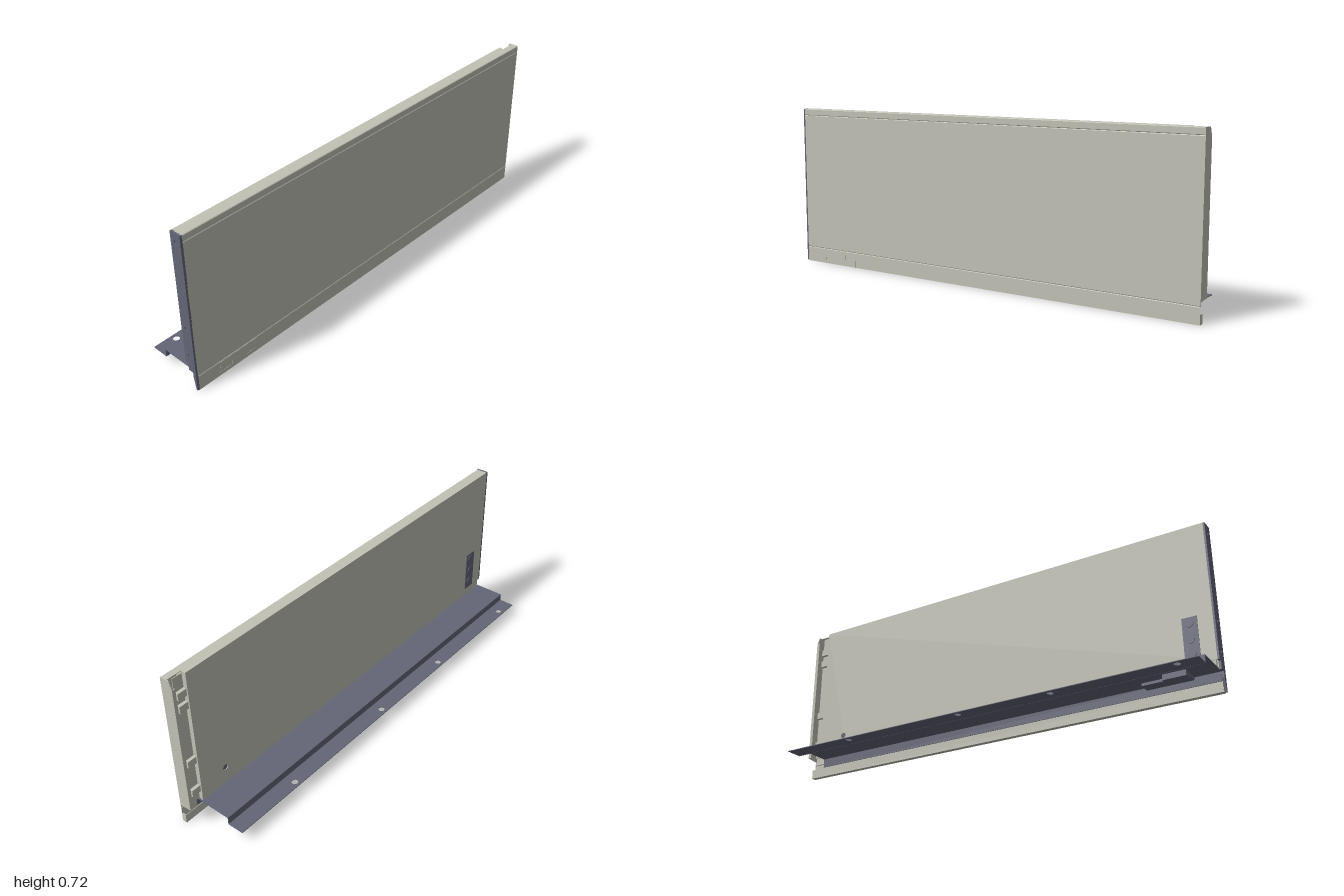
import * as THREE from 'three';

const light = new THREE.MeshStandardMaterial({ color: 0xc2c2b6, side: THREE.DoubleSide });
const dark = new THREE.MeshStandardMaterial({ color: 0x636576, side: THREE.DoubleSide });

export function createModel() {
  const model = new THREE.Group();

  const add = (name, geometry, material) => {
    const mesh = new THREE.Mesh(geometry, material);
    mesh.name = name;
    model.add(mesh);
    return mesh;
  };

  // Box given by its limits on each axis
  const box = (name, material, [x0, x1], [y0, y1], [z0, z1]) =>
    add(name, new THREE.BoxGeometry(x1 - x0, y1 - y0, z1 - z0)
      .translate((x0 + x1) / 2, (y0 + y1) / 2, (z0 + z1) / 2), material);

  const outline = (points) => new THREE.Shape(points.map(([x, y]) => new THREE.Vector2(x, y)));
  const rect = (x0, x1, y0, y1) => outline([[x0, y0], [x1, y0], [x1, y1], [x0, y1]]);
  const punch = (shape, x, y, r) =>
    shape.holes.push(new THREE.Path().absarc(x, y, r, 0, Math.PI * 2, true));
  const extrude = (shape, depth) =>
    new THREE.ExtrudeGeometry(shape, { depth, bevelEnabled: false, curveSegments: 10 });

  // Folded sheet: a centre line thickened with mitred corners, extruded along z
  const sheet = (name, material, line, t, z0, z1) => {
    const p = line.map(([x, y]) => new THREE.Vector2(x, y));
    const sides = [[], []];
    p.forEach((c, i) => {
      const a = c.clone().sub(p[Math.max(i - 1, 0)]).normalize();
      const b = p[Math.min(i + 1, p.length - 1)].clone().sub(c).normalize();
      if (i === 0) a.copy(b);
      if (i === p.length - 1) b.copy(a);
      const n = new THREE.Vector2(-a.y - b.y, a.x + b.x).normalize();
      const d = t / 2 / (n.x * -a.y + n.y * a.x);
      sides[0].push([c.x + n.x * d, c.y + n.y * d]);
      sides[1].unshift([c.x - n.x * d, c.y - n.y * d]);
    });
    return add(name, extrude(outline([...sides[0], ...sides[1]]), z1 - z0).translate(0, 0, z0), material);
  };

  // Outer skin with hemmed skirt and two shallow grooves
  sheet('outerSkin', light, [
    [0.111, 0.04], [0.111, 0.001], [0.13, 0.001], [0.13, 0.066], [0.128, 0.069], [0.13, 0.072],
    [0.13, 0.688], [0.128, 0.691], [0.13, 0.694], [0.13, 0.717], [0.128, 0.719], [0.1, 0.719],
  ], 0.002, -1, 0.992);
  box('topFold', light, [0.08, 0.101], [0.718, 0.72], [-0.93, 0.992]);

  // Inner wall with an adjusting hole near the back
  const wall = rect(-0.93, 0.992, 0.12, 0.72);
  punch(wall, -0.8, 0.166, 0.013);
  add('innerWall', extrude(wall, 0.003).rotateY(-Math.PI / 2).translate(0.081, 0, 0), light);
  box('innerFootStrip', light, [0.08, 0.092], [0.086, 0.12], [-0.93, 0.985]);
  box('holeBacking', dark, [0.083, 0.086], [0.145, 0.187], [-0.825, -0.775]);

  // Front end cap with screw holes
  const cap = outline([
    [0.078, 0.12], [0.092, 0.12], [0.092, 0.085], [0.115, 0.085], [0.115, 0.06],
    [0.125, 0.003], [0.131, 0.003], [0.131, 0.72], [0.078, 0.72],
  ]);
  for (const y of [0.163, 0.293, 0.682]) {
    punch(cap, 0.104, y, 0.0085);
    add('capScrew', new THREE.CylinderGeometry(0.0085, 0.0085, 0.006, 16)
      .rotateX(Math.PI / 2).translate(0.104, y, 0.992), dark);
  }
  add('frontCap', extrude(cap, 0.01).translate(0, 0, 0.99), dark);

  // Back return flange with a hooked edge and chamfered top
  add('backFlange', extrude(outline([
    [0.075, 0.09], [0.131, 0.085], [0.131, 0.72], [0.088, 0.72], [0.075, 0.685],
  ]), 0.004).translate(0, 0, -1), light);
  box('backFlangeHook', light, [0.075, 0.078], [0.09, 0.685], [-1, -0.985]);
  box('skirtBackReturn', light, [0.11, 0.131], [0, 0.04], [-1, -0.996]);

  // Recessed channel and catches in the open back end
  box('backChannelWall', light, [0.098, 0.101], [0.09, 0.71], [-0.975, -0.925]);
  box('backChannelEnd', light, [0.08, 0.13], [0.09, 0.718], [-0.93, -0.927]);
  for (const y of [0.15, 0.3, 0.57, 0.63]) {
    box('backCatch', light, [0.084, 0.1], [y - 0.016, y + 0.016], [-0.972, -0.93]);
  }

  // Bottom rail: stepped sheet, with a punched mounting flange
  sheet('bottomRail', dark, [
    [-0.06, 0.05], [-0.06, 0.085], [0.113, 0.085], [0.113, 0.045],
  ], 0.003, -0.935, 0.99);
  const flange = rect(-0.133, -0.0585, -0.935, 0.99);
  for (const z of [-0.61, -0.045, 0.38, 0.9]) punch(flange, -0.108, z, 0.014);
  add('mountingFlange', extrude(flange, 0.003).rotateX(Math.PI / 2).translate(0, 0.0535, 0), dark);

  // Catch block under the rail
  box('railCatch', dark, [0.022, 0.06], [0.06, 0.085], [0.79, 0.885]);
  box('railCatchArm', dark, [0.06, 0.115], [0.072, 0.085], [0.69, 0.885]);

  // Latch bracket on the inner wall
  box('latchPlate', dark, [0.076, 0.079], [0.125, 0.32], [0.867, 0.93]);
  for (const y of [0.163, 0.225, 0.293]) {
    add('latchScrew', new THREE.CylinderGeometry(0.016, 0.016, 0.004, 16)
      .rotateZ(Math.PI / 2).translate(0.0755, y, 0.898), dark);
  }

  // Skirt insert with two small windows
  const insert = rect(0.69, 0.885, 0.001, 0.065);
  for (const z of [0.73, 0.85]) {
    insert.holes.push(new THREE.Path(rect(z - 0.025, z + 0.025, 0.018, 0.05).getPoints()));
  }
  add('skirtInsert', extrude(insert, 0.001).rotateY(-Math.PI / 2).translate(0.132, 0, 0), light);

  return model;
}
